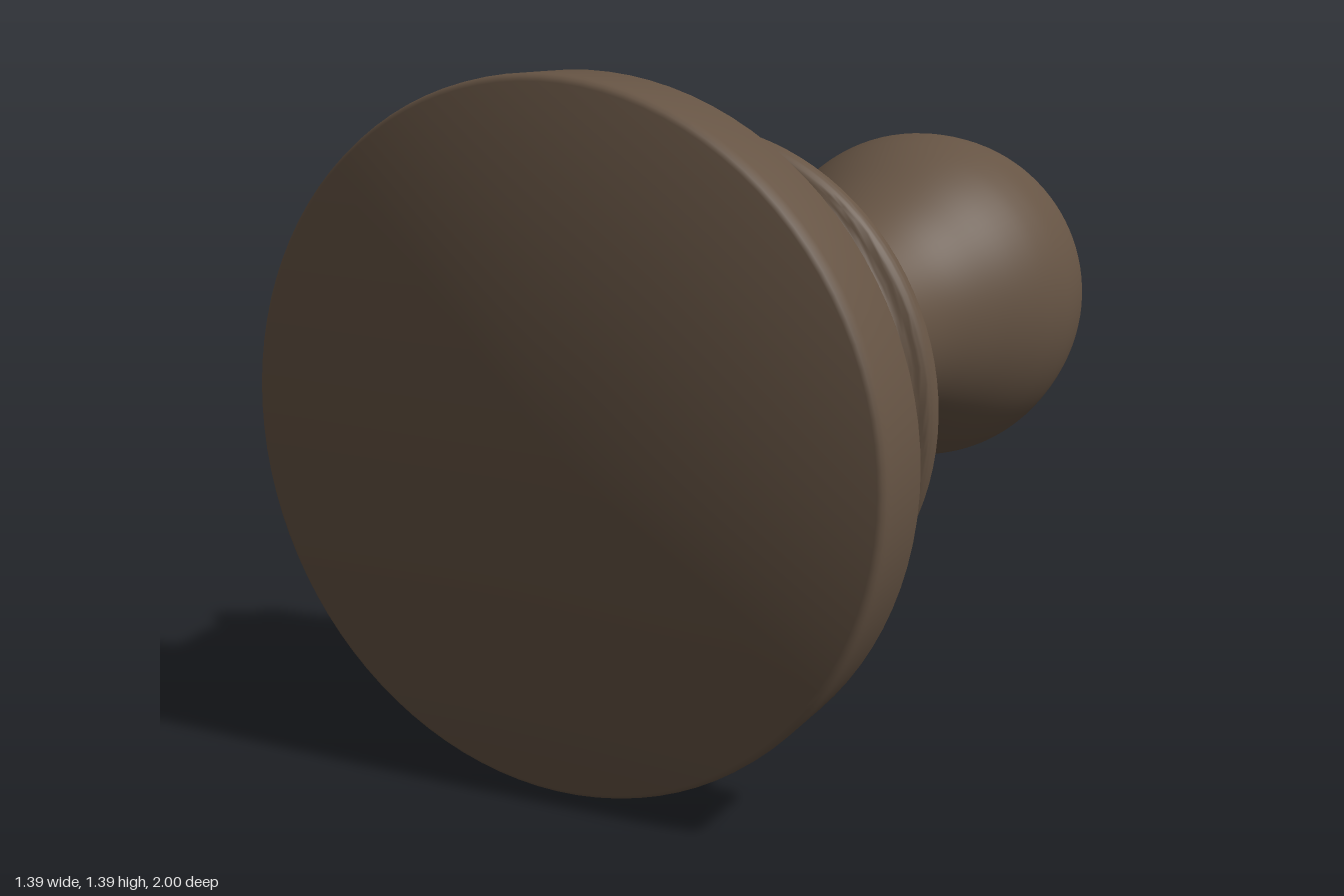
import * as THREE from 'three';
import { toCreasedNormals } from 'three/addons/utils/BufferGeometryUtils.js';

const AXIS_HEIGHT = 0.697;

// Smooth run through a few [radius, z] points
function curve(points, steps) {
  const spline = new THREE.SplineCurve(points.map(([r, z]) => new THREE.Vector2(r, z)));
  return spline.getPoints(steps).map((p) => [p.x, p.y]);
}

export function createModel() {
  const model = new THREE.Group();
  model.name = 'turnedKnob';
  const brown = new THREE.MeshStandardMaterial({ color: 0x665444 });
  brown.name = 'darkBrown';

  // Turns a profile, ordered back to front, around the z axis
  function turn(name, profile) {
    const points = profile.map(([r, z]) => new THREE.Vector2(r, z));
    const geometry = toCreasedNormals(new THREE.LatheGeometry(points, 96), 0.7);
    geometry.rotateX(Math.PI / 2);
    const mesh = new THREE.Mesh(geometry, brown);
    mesh.name = name;
    mesh.position.y = AXIS_HEIGHT;
    model.add(mesh);
  }

  // Flat disc on the end of the knob
  turn('endCap', [[0, -1], [0.26, -1], [0.268, -0.997], [0.272, -0.988], [0.272, -0.972], [0.265, -0.965]]);

  // Bulb narrowing into the neck
  turn('knob', [
    [0, -0.97], [0.262, -0.97],
    ...curve([[0.275, -0.967], [0.335, -0.91], [0.38, -0.815], [0.405, -0.68], [0.396, -0.58], [0.367, -0.485],
      [0.315, -0.37], [0.262, -0.25], [0.225, -0.12], [0.212, 0], [0.21, 0.113]], 48),
    [0.207, 0.12], [0.2, 0.123], [0, 0.123],
  ]);

  // Core visible in the thin joint
  turn('joint', [[0.195, 0.115], [0.195, 0.14]]);

  // Flared cove between neck and base
  turn('flare', [
    [0, 0.128], [0.2, 0.128], [0.206, 0.131],
    ...curve([[0.21, 0.138], [0.223, 0.2], [0.25, 0.265], [0.3, 0.32], [0.37, 0.355], [0.465, 0.372]], 24),
  ].reverse().map(([r, z]) => [r, z]).reverse());

  // Stepped base with bead, waist and plinth
  turn('base', [
    [0.44, 0.372], [0.48, 0.372],
    ...curve([[0.486, 0.374], [0.494, 0.382], [0.497, 0.4], [0.508, 0.413], [0.535, 0.424], [0.55, 0.44],
      [0.552, 0.462], [0.543, 0.482], [0.522, 0.495], [0.512, 0.515], [0.508, 0.57], [0.503, 0.64],
      [0.513, 0.66], [0.545, 0.673], [0.585, 0.688], [0.606, 0.72], [0.615, 0.76], [0.628, 0.8],
      [0.65, 0.814], [0.682, 0.821], [0.691, 0.835]], 90),
    [0.697, 0.97], [0.696, 0.985], [0.692, 0.995], [0.684, 1], [0, 1],
  ]);

  return model;
}
